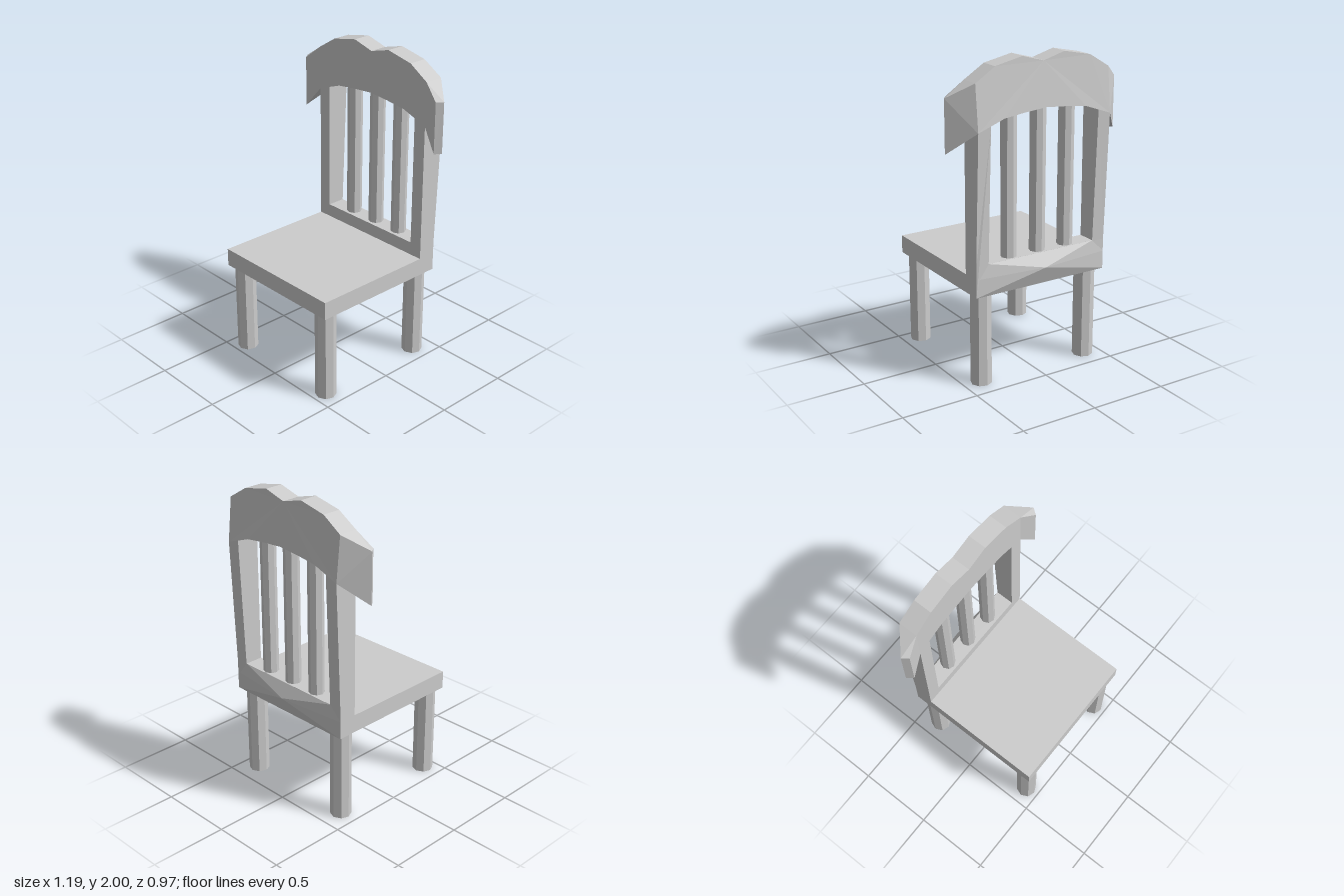
import * as THREE from 'three';
import { ConvexGeometry } from 'three/addons/geometries/ConvexGeometry.js';

const material = new THREE.MeshStandardMaterial({ color: 0xcccccc, flatShading: true });
const FRONT = -0.32; // front plane of the backrest

function addMesh(parent, name, geometry, x = 0, y = 0, z = 0) {
  const mesh = new THREE.Mesh(geometry, material);
  mesh.name = name;
  mesh.position.set(x, y, z);
  parent.add(mesh);
  return mesh;
}

const hull = (points) => new ConvexGeometry(points.map((p) => new THREE.Vector3(...p)));

// Octagonal rod between two heights
function addRod(parent, name, radius, bottom, top, x, z) {
  const rod = addMesh(parent, name, new THREE.CylinderGeometry(radius, radius, top - bottom, 8), x, (bottom + top) / 2, z);
  rod.rotation.y = 0.05;
}

// Right half of an outline plus its mirror image
function mirrored(half) {
  const left = half.filter(([x]) => x > 0).map(([x, y]) => [-x, y]).reverse();
  return [...half, ...left].map(([x, y]) => new THREE.Vector2(x, y));
}

// Depth of the rear face: leans back up the posts, then returns towards the crest
function rearZ(y) {
  const profile = [[0.59, -0.44], [0.79, -0.44], [1.6, -0.472], [1.79, -0.466], [1.88, -0.443], [2.01, -0.437]];
  for (let i = 1; i < profile.length; i++) {
    const [y0, z0] = profile[i - 1];
    const [y1, z1] = profile[i];
    if (y <= y1) return THREE.MathUtils.mapLinear(y, y0, y1, z0, z1);
  }
  return -0.437;
}

// Posts, lower rail and scalloped crest as one pierced panel
function backFrameGeometry() {
  const shape = new THREE.Shape(mirrored([
    [0.462, 0.595], [0.462, 0.79], [0.462, 1.6], [0.462, 1.88], [0.33, 1.962], [0.145, 2.0], [0, 1.96],
  ]));
  shape.holes.push(new THREE.Path(mirrored([
    [0.377, 0.795], [0.377, 1.63], [0.285, 1.663], [0.145, 1.68], [0, 1.692],
  ])));
  const geometry = new THREE.ExtrudeGeometry(shape, { depth: 1, bevelEnabled: false });
  const pos = geometry.attributes.position;
  for (let i = 0; i < pos.count; i++) {
    pos.setZ(i, pos.getZ(i) > 0.5 ? FRONT : rearZ(pos.getY(i)));
  }
  geometry.computeVertexNormals();
  return geometry;
}

export function createModel() {
  const chair = new THREE.Group();
  chair.name = 'chair';

  // Seat slab
  const seatDepth = 0.485 - FRONT;
  addMesh(chair, 'seat', new THREE.BoxGeometry(0.924, 0.115, seatDepth), 0, 0.6525, FRONT + seatDepth / 2);

  // Legs
  for (const x of [-0.382, 0.382]) {
    addRod(chair, 'frontLeg', 0.066, 0, 0.6, x, 0.409);
    addRod(chair, 'backLeg', 0.066, 0, 0.6, x, -0.356);
  }

  // Backrest
  const back = new THREE.Group();
  back.name = 'backrest';
  chair.add(back);
  addMesh(back, 'backFrame', backFrameGeometry());

  // Pointed swelling behind the lower rail
  addMesh(back, 'railSwelling', hull([
    [-0.462, 0.595, -0.44], [0.462, 0.595, -0.44], [-0.462, 0.71, -0.44], [0.462, 0.71, -0.44],
    [-0.377, 0.795, -0.44], [0.377, 0.795, -0.44], [0, 0.71, -0.487],
  ]));

  // Upright spindles
  for (const x of [-0.204, 0, 0.204]) addRod(back, 'spindle', 0.049, 0.79, 1.71, x, -0.385);

  // Forward-swept ends of the crest
  for (const s of [-1, 1]) {
    addMesh(back, s > 0 ? 'leftCrestEnd' : 'rightCrestEnd', hull([
      [0.462, 1.88, FRONT], [0.462, 1.88, -0.443], [0.567, 1.79, -0.29], [0.597, 1.79, -0.33],
      [0.462, 1.6, FRONT], [0.462, 1.6, -0.472], [0.567, 1.465, -0.29], [0.597, 1.465, -0.33],
    ].map(([x, y, z]) => [s * x, y, z])));
  }

  return chair;
}
